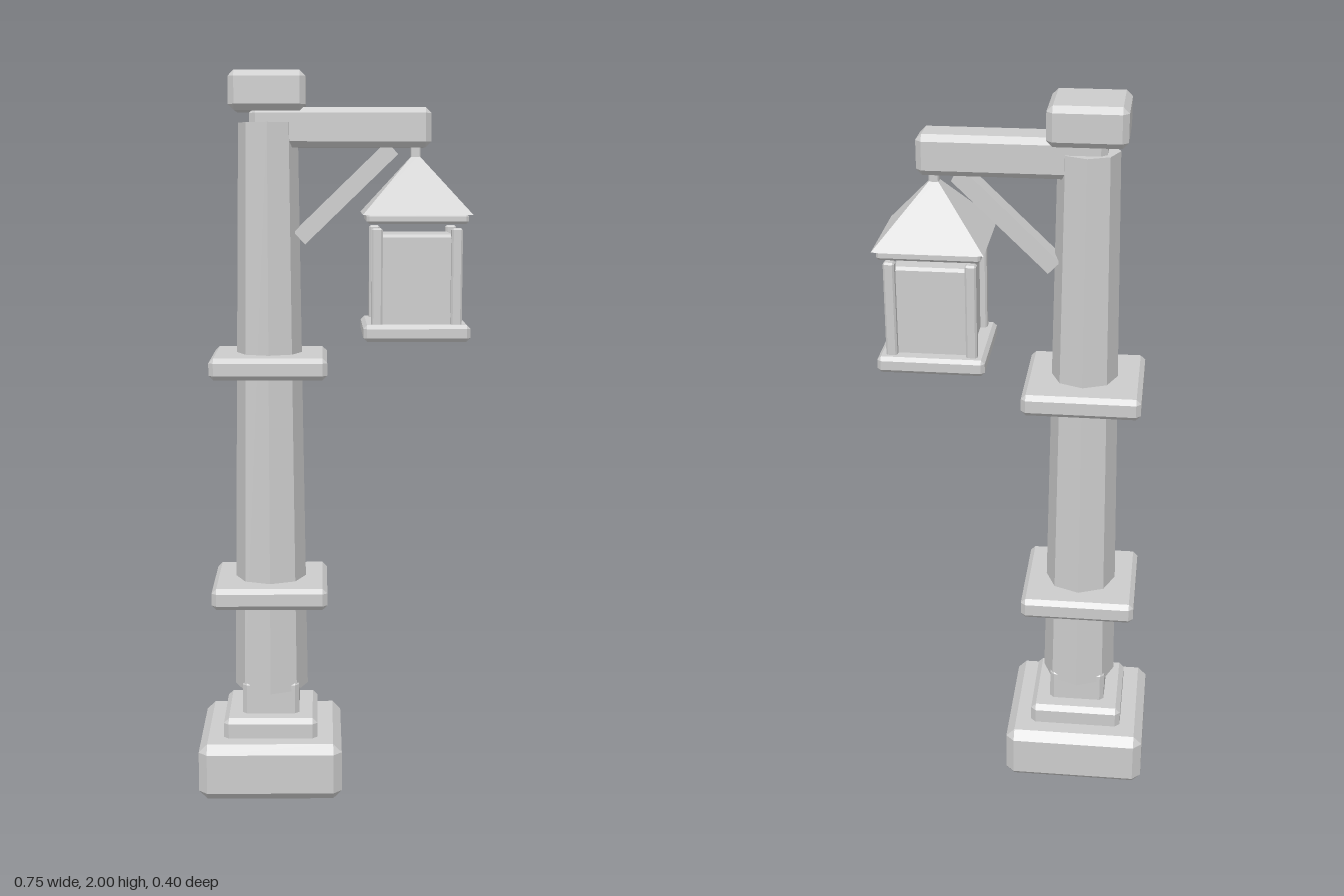
import * as THREE from 'three';
import { ConvexGeometry } from 'three/addons/geometries/ConvexGeometry.js';

const stone = new THREE.MeshStandardMaterial({ color: 0xcccccc });
stone.name = 'pale grey';

// Box with every edge cut at 45 degrees: w, h, d are full sizes, c the cut
function chamferBox(w, h, d, c) {
  const points = [];
  for (const x of [-1, 1]) for (const y of [-1, 1]) for (const z of [-1, 1]) {
    const [a, b, e] = [w / 2, h / 2, d / 2];
    points.push(
      new THREE.Vector3(x * a, y * (b - c), z * (e - c)),
      new THREE.Vector3(x * (a - c), y * b, z * (e - c)),
      new THREE.Vector3(x * (a - c), y * (b - c), z * e));
  }
  return new ConvexGeometry(points);
}

function add(parent, name, geometry, x, y, z = 0) {
  const mesh = new THREE.Mesh(geometry, stone);
  mesh.name = name;
  mesh.position.set(x, y, z);
  parent.add(mesh);
  return mesh;
}

// Square chamfered block between two heights
function block(parent, name, x, half, y0, y1, c) {
  return add(parent, name, chamferBox(half * 2, y1 - y0, half * 2, c), x, (y0 + y1) / 2);
}

// Faceted tapering prism
function prism(top, bottom, y0, y1, sides, turn = 0) {
  const g = new THREE.CylinderGeometry(top, bottom, y1 - y0, sides).toNonIndexed();
  g.rotateY(turn);
  g.computeVertexNormals();
  return g;
}

export function createModel() {
  const model = new THREE.Group();
  model.name = 'lampPost';
  const px = -0.175;
  const lx = 0.226;

  // Stepped foot and socket
  block(model, 'base', px, 0.2, 0, 0.16, 0.024);
  block(model, 'plinth', px, 0.132, 0.14, 0.215, 0.014);
  block(model, 'socket', px, 0.08, 0.2, 0.31, 0.012);

  // Octagonal post with two collars and a cap
  add(model, 'post', prism(0.081, 0.104, 0.28, 1.865, 8), px, (0.28 + 1.865) / 2);
  block(model, 'lowerCollar', px, 0.16, 0.54, 0.6, 0.013);
  block(model, 'upperCollar', px, 0.16, 1.18, 1.24, 0.013);
  block(model, 'cap', px, 0.103, 1.895, 2, 0.016);

  // Arm and diagonal brace
  add(model, 'arm', chamferBox(0.49, 0.107, 0.11, 0.016), 0.021, 1.852);
  const brace = add(model, 'brace', new THREE.BoxGeometry(0.35, 0.045, 0.06), 0.036, 1.676);
  brace.rotation.z = Math.PI / 4.1;

  // Hanging lantern
  const lantern = new THREE.Group();
  lantern.name = 'lantern';
  lantern.position.x = lx;
  model.add(lantern);
  block(lantern, 'hanger', 0, 0.013, 1.755, 1.81, 0.003);
  add(lantern, 'roof', prism(0.012, 0.146 * Math.SQRT2, 1.622, 1.778, 4, Math.PI / 4), 0, 1.7);
  block(lantern, 'roofRim', 0, 0.136, 1.597, 1.624, 0.007);
  block(lantern, 'lampBody', 0, 0.103, 1.32, 1.568, 0.008);
  block(lantern, 'tray', 0, 0.144, 1.283, 1.328, 0.01);
  for (const x of [-1, 1]) for (const z of [-1, 1]) {
    add(lantern, 'cornerPost', chamferBox(0.03, 0.265, 0.03, 0.005), x * 0.107, 1.453, z * 0.107);
  }
  return model;
}
